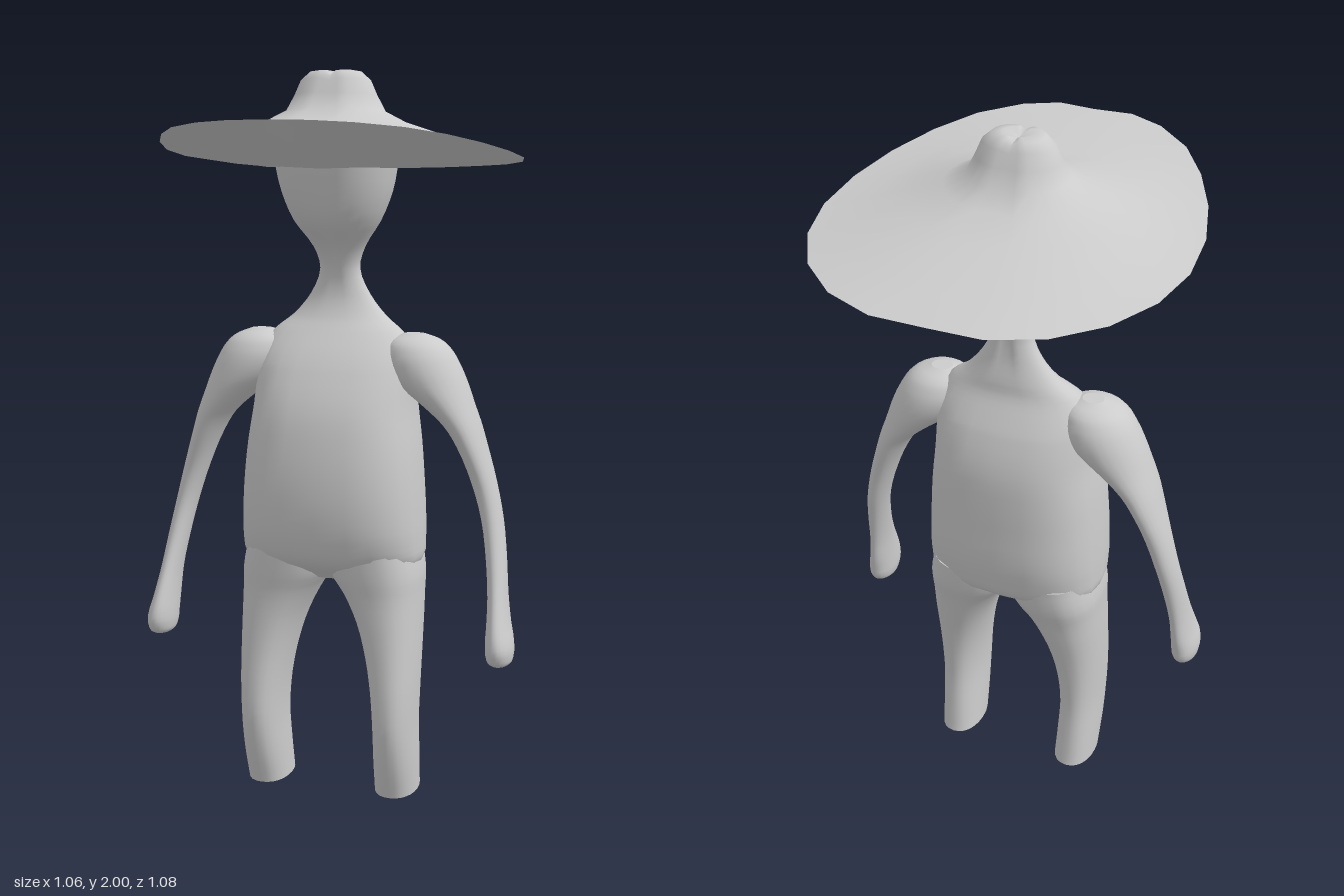
import * as THREE from 'three';

const SIDES = 24;

// Smooth skin over rings listed bottom to top; optional flat end caps
function skin(rings, cap) {
  const pos = [], index = [], n = rings[0].length;
  rings.forEach(r => r.forEach(p => pos.push(...p)));
  for (let i = 0; i < rings.length - 1; i++) {
    for (let j = 0; j < n; j++) {
      const a = i * n + j, b = i * n + (j + 1) % n;
      index.push(a, a + n, b, b, a + n, b + n);
    }
  }
  if (cap) {
    [rings[0], rings[rings.length - 1]].forEach((r, top) => {
      const base = pos.length / 3, c = [0, 1, 2].map(k => r.reduce((s, p) => s + p[k], 0) / n);
      r.forEach(p => pos.push(...p));
      pos.push(...c);
      for (let j = 0; j < n; j++) {
        const a = base + j, b = base + (j + 1) % n;
        if (top) index.push(base + n, b, a);
        else index.push(base + n, a, b);
      }
    });
  }
  const g = new THREE.BufferGeometry();
  g.setAttribute('position', new THREE.Float32BufferAttribute(pos, 3));
  g.setIndex(index);
  g.computeVertexNormals();
  return g;
}

// Horizontal slices: [y, xMin, xMax, zBack, zFront, roundness exponent, seam depth]
function loft(rows, steps = 3) {
  const curve = new THREE.CubicInterpolant(rows.map(r => r[0]), rows.flatMap(r => r.slice(1)), 6);
  const rings = [];
  for (let i = 0; i < rows.length; i++) {
    const last = i === rows.length - 1;
    for (let k = 0; k < (last ? 1 : steps); k++) {
      const y = last ? rows[i][0] : THREE.MathUtils.lerp(rows[i][0], rows[i + 1][0], k / steps);
      const [x0, x1, z0, z1, e, seam] = last ? rows[i].slice(1) : Array.from(curve.evaluate(y));
      const ring = [];
      for (let j = 0; j < SIDES; j++) {
        const a = j / SIDES * Math.PI * 2, c = Math.cos(a), s = Math.sin(a);
        const px = Math.sign(c) * Math.abs(c) ** (2 / e), pz = Math.sign(s) * Math.abs(s) ** (2 / e);
        const dent = j === SIDES * 0.75 ? seam : j === SIDES / 4 ? -seam * 0.4 : 0;
        ring.push([(x0 + x1) / 2 + px * (x1 - x0) / 2, y, (z0 + z1) / 2 + pz * (z1 - z0) / 2 + dent]);
      }
      rings.push(ring);
    }
  }
  return skin(rings, true);
}

export function createModel() {
  const model = new THREE.Group();
  const material = new THREE.MeshStandardMaterial({ color: 0xcccccc, side: THREE.DoubleSide });
  const add = (name, geometry) => {
    const mesh = new THREE.Mesh(geometry, material);
    mesh.name = name;
    model.add(mesh);
  };

  // Torso, neck and head: [y, half width, zBack, zFront, exponent, seam]
  const body = [
    [0.62, 0.2, -0.09, 0.09, 2.4, 0],
    [0.67, 0.25, -0.155, 0.165, 2.5, 0],
    [0.72, 0.255, -0.175, 0.195, 2.6, 0],
    [0.8, 0.253, -0.19, 0.213, 2.6, 0],
    [0.9, 0.247, -0.192, 0.215, 2.6, 0],
    [1.0, 0.238, -0.192, 0.203, 2.6, 0],
    [1.1, 0.225, -0.185, 0.178, 2.6, 0],
    [1.2, 0.22, -0.155, 0.128, 2.6, 0],
    [1.25, 0.215, -0.13, 0.095, 2.4, 0],
    [1.3, 0.185, -0.105, 0.055, 2.2, 0],
    [1.34, 0.135, -0.1, 0.025, 2, 0.003],
    [1.4, 0.085, -0.088, 0.002, 2, 0.01],
    [1.47, 0.056, -0.085, 0.005, 2, 0.015],
    [1.53, 0.072, -0.1, 0.035, 2, 0.02],
    [1.6, 0.118, -0.13, 0.1, 2.1, 0.025],
    [1.68, 0.15, -0.158, 0.135, 2.2, 0.03],
    [1.77, 0.168, -0.17, 0.16, 2.2, 0.03],
  ];
  add('torsoNeckAndHead', loft(body.map(([y, x, ...rest]) => [y, -x, x, ...rest])));

  // Limbs: [y, inner x, outer x, zBack, zFront, exponent]
  const leg = [
    [0, 0.13, 0.25, -0.08, 0.11, 2.2],
    [0.1, 0.133, 0.252, -0.07, 0.145, 2.2],
    [0.2, 0.135, 0.252, -0.063, 0.168, 2.2],
    [0.3, 0.128, 0.255, -0.068, 0.17, 2.2],
    [0.4, 0.11, 0.257, -0.085, 0.163, 2.2],
    [0.5, 0.08, 0.257, -0.11, 0.157, 2.3],
    [0.58, 0.04, 0.256, -0.13, 0.156, 2.4],
    [0.64, 0, 0.255, -0.15, 0.163, 2.5],
    [0.72, -0.02, 0.24, -0.16, 0.17, 2.5],
  ];
  const arm = [
    [0.418, 0.485, 0.5, 0.085, 0.105, 2],
    [0.425, 0.468, 0.52, 0.05, 0.135, 2],
    [0.445, 0.458, 0.53, 0.025, 0.158, 2],
    [0.48, 0.455, 0.53, 0.015, 0.165, 2],
    [0.53, 0.455, 0.518, 0.005, 0.148, 2],
    [0.6, 0.452, 0.506, -0.003, 0.115, 2],
    [0.7, 0.438, 0.494, -0.025, 0.075, 2],
    [0.8, 0.418, 0.478, -0.05, 0.048, 2],
    [0.9, 0.387, 0.455, -0.067, 0.045, 2],
    [1.0, 0.345, 0.425, -0.09, 0.065, 2],
    [1.06, 0.305, 0.407, -0.1, 0.077, 2],
    [1.12, 0.235, 0.386, -0.11, 0.088, 2],
    [1.17, 0.17, 0.368, -0.118, 0.093, 2],
    [1.22, 0.14, 0.345, -0.117, 0.09, 2],
    [1.26, 0.14, 0.32, -0.103, 0.075, 2],
    [1.285, 0.155, 0.29, -0.08, 0.05, 2],
    [1.3, 0.19, 0.25, -0.04, 0.01, 2],
  ];
  for (const [side, s] of [['left', 1], ['right', -1]]) {
    const mirror = rows => rows.map(([y, a, b, z0, z1, e]) =>
      [y, Math.min(a * s, b * s), Math.max(a * s, b * s), z0, z1, e, 0]);
    add(side + 'Leg', loft(mirror(leg)));
    add(side + 'Arm', loft(mirror(arm)));
  }

  // Brim outline from front centre round the left side to back centre
  const half = [[0, 0.523], [0.105, 0.535], [0.2, 0.498], [0.3, 0.415], [0.378, 0.3], [0.44, 0.17], [0.48, 0.03],
    [0.49, -0.12], [0.46, -0.26], [0.388, -0.388], [0.28, -0.485], [0.145, -0.54], [0, -0.54]];
  const outline = [...half, ...half.slice(1, -1).reverse().map(([x, z]) => [-x, z])].reverse();

  // Height varies round a ring from front through side to back
  const height = (c, f, s, b) => s + (f + b - 2 * s) / 2 * c * c + (f - b) / 2 * c;
  const brimRing = (k, f, s, b) => outline.map(([x, z]) =>
    [x * k, height(z / Math.hypot(x, z), f, s, b), z * k]);
  const crownRing = (rx, zf, zb, f, s, b, dent = 0, drop = 0) => outline.map(([x], i) => {
    const a = (outline.length - 1 - i) / outline.length * Math.PI * 2, c = Math.cos(a);
    const seam = Math.abs(x) < 1e-6;
    return [Math.sin(a) * rx, height(c, f, s, b) - (seam ? drop : 0),
      c * (c > 0 ? zf : zb) * (seam ? 1 - dent : 1)];
  });
  const rim = brimRing(1, 1.866, 1.785, 1.735);
  add('hatTop', skin([
    rim,
    brimRing(0.78, 1.857, 1.802, 1.767),
    crownRing(0.28, 0.28, 0.26, 1.854, 1.835, 1.812),
    crownRing(0.195, 0.18, 0.165, 1.866, 1.862, 1.848, 0.12),
    crownRing(0.135, 0.115, 0.115, 1.9, 1.892, 1.888, 0.14),
    crownRing(0.112, 0.09, 0.09, 1.94, 1.935, 1.935, 0.12),
    crownRing(0.096, 0.07, 0.07, 1.978, 1.972, 1.974, 0.08, 0.008),
    crownRing(0.07, 0.055, 0.055, 1.996, 1.995, 1.994, 0, 0.012),
    crownRing(0.04, 0.035, 0.035, 1.998, 2, 1.998, 0, 0.014),
    crownRing(0, 0, 0, 1.985, 1.985, 1.985),
  ], false));
  add('hatUnderside', skin([
    brimRing(0.25, 1.742, 1.742, 1.745),
    brimRing(0.4, 1.755, 1.743, 1.742),
    brimRing(0.65, 1.8, 1.757, 1.737),
    brimRing(0.85, 1.838, 1.773, 1.735),
    rim,
  ], false));

  return model;
}
